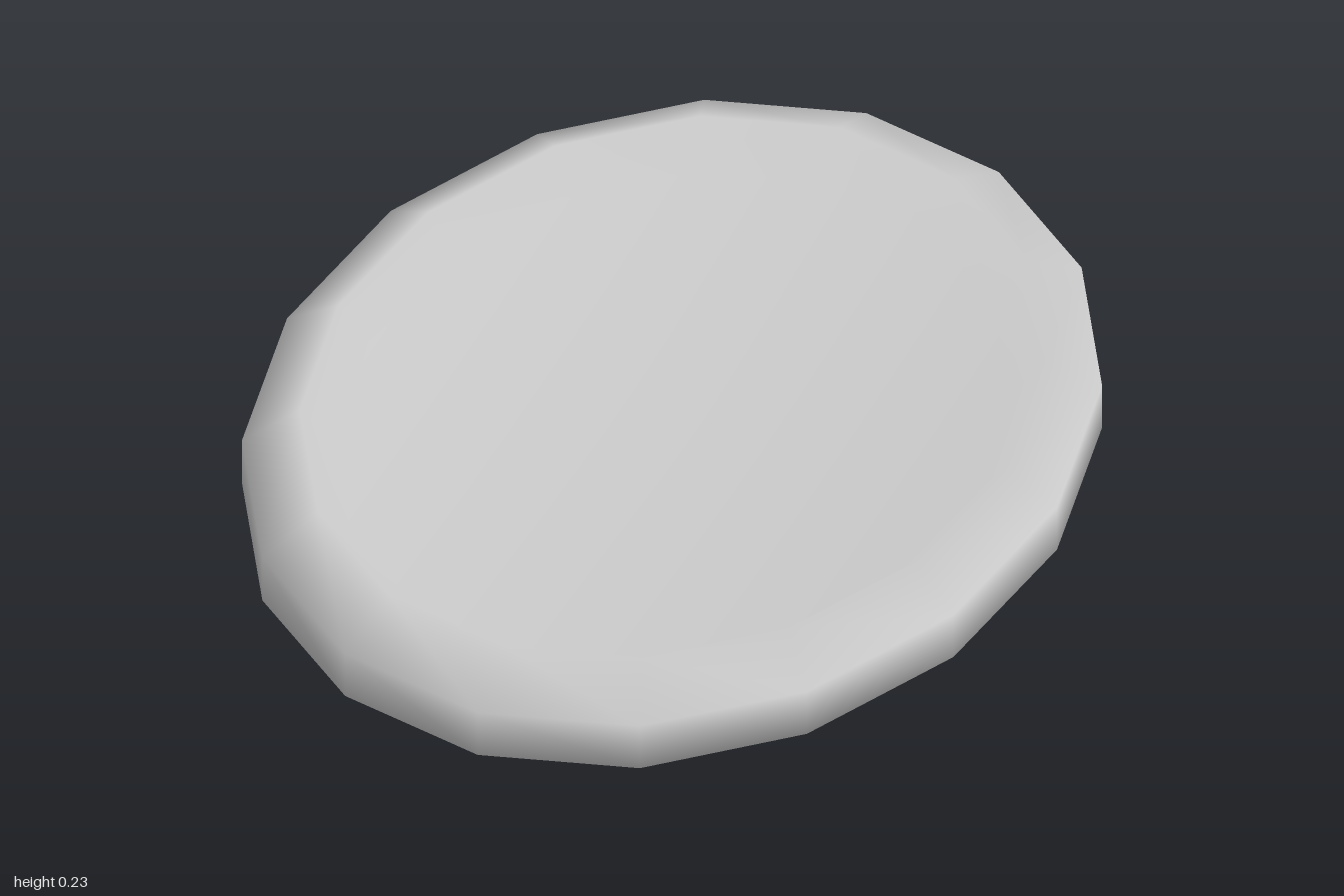
import * as THREE from 'three';

// Shallow oval dish: a 16-sided turned profile, narrowed across x.
export function createModel() {
  const group = new THREE.Group();
  group.name = 'ovalDish';

  // radius, height: underside, outer edge, rim crest, flat floor
  const profile = [
    [0, 0], [0.865, 0],
    [1, 0.07], [1, 0.172],
    [0.865, 0.235],
    [0.785, 0.16], [0, 0.16],
  ].map(([r, y]) => new THREE.Vector2(r, y));

  const geometry = new THREE.LatheGeometry(profile, 16);
  geometry.scale(0.79, 1, 1);

  const dish = new THREE.Mesh(
    geometry,
    new THREE.MeshStandardMaterial({ color: 0xcccccc })
  );
  dish.name = 'dish';
  group.add(dish);
  return group;
}
